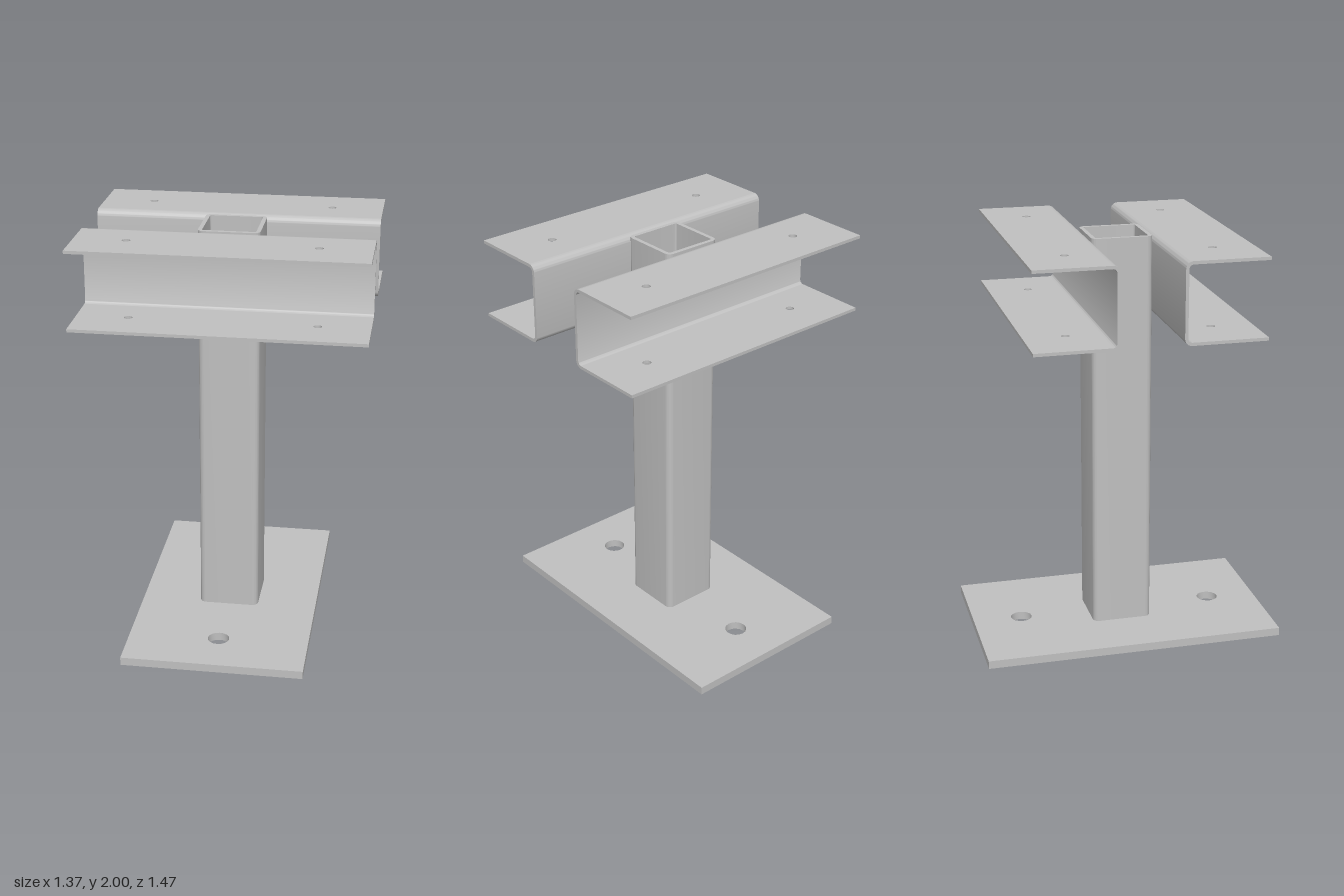
import * as THREE from 'three';
import { toCreasedNormals } from 'three/addons/utils/BufferGeometryUtils.js';

const steel = new THREE.MeshStandardMaterial({ color: 0xc0c0c0 });
steel.name = 'grey steel';

function extrude(shape, depth) {
  return new THREE.ExtrudeGeometry(shape, { depth, bevelEnabled: false, curveSegments: 8 });
}

function mesh(geometry, name) {
  const m = new THREE.Mesh(toCreasedNormals(geometry, 0.6), steel);
  m.name = name;
  return m;
}

// Square of half-width h with corners of radius r
function roundedSquare(path, h, r) {
  const c = h - r;
  path.moveTo(h, -c);
  path.absarc(c, c, r, 0, Math.PI / 2);
  path.absarc(-c, c, r, Math.PI / 2, Math.PI);
  path.absarc(-c, -c, r, Math.PI, Math.PI * 1.5);
  path.absarc(c, -c, r, Math.PI * 1.5, Math.PI * 2);
  return path;
}

// Flat horizontal plate with round holes given as [x, z]
function plate(halfX, z0, z1, y, t, holes, r, name) {
  const s = new THREE.Shape();
  s.moveTo(-halfX, -z1);
  s.lineTo(halfX, -z1);
  s.lineTo(halfX, -z0);
  s.lineTo(-halfX, -z0);
  s.closePath();
  for (const [x, z] of holes) {
    s.holes.push(new THREE.Path().absarc(x, -z, r, 0, Math.PI * 2));
  }
  return mesh(extrude(s, t).rotateX(-Math.PI / 2).translate(0, y, 0), name);
}

// Channel opening towards +z: bent web plus two drilled flanges
function channel(name) {
  const g = new THREE.Group();
  g.name = name;
  const half = 0.685, z0 = 0.147, z1 = 0.54, y0 = 1.615, y1 = 2;
  const t = 0.015, R = 0.035, r = R - t, zc = z0 + R, P = Math.PI;

  const s = new THREE.Shape();
  s.moveTo(zc, y1);
  s.absarc(zc, y1 - R, R, P / 2, P);
  s.absarc(zc, y0 + R, R, P, P * 1.5);
  s.lineTo(zc, y0 + t);
  s.absarc(zc, y0 + R, r, P * 1.5, P, true);
  s.absarc(zc, y1 - R, r, P, P / 2, true);
  s.closePath();
  const web = extrude(s, half * 2).rotateY(-P / 2).translate(half, 0, 0);
  g.add(mesh(web, 'channelWeb'));

  const holes = [[-0.44, 0.343], [0.44, 0.343]];
  g.add(plate(half, zc, z1, y1 - t, t, holes, 0.02, 'topFlange'));
  g.add(plate(half, zc, z1, y0, t, holes, 0.02, 'bottomFlange'));
  return g;
}

export function createModel() {
  const model = new THREE.Group();
  model.name = 'postBracket';

  // Base plate with two anchor holes
  model.add(plate(0.44, -0.735, 0.735, 0, 0.04, [[0, 0.492], [0, -0.492]], 0.053, 'basePlate'));

  // Hollow square post
  const section = roundedSquare(new THREE.Shape(), 0.147, 0.03);
  section.holes.push(roundedSquare(new THREE.Path(), 0.127, 0.008));
  model.add(mesh(extrude(section, 1.96).rotateX(-Math.PI / 2).translate(0, 0.04, 0), 'post'));

  // Back-to-back channels on either side of the post
  const back = channel('backChannel');
  back.rotation.y = Math.PI;
  model.add(channel('frontChannel'), back);
  return model;
}
